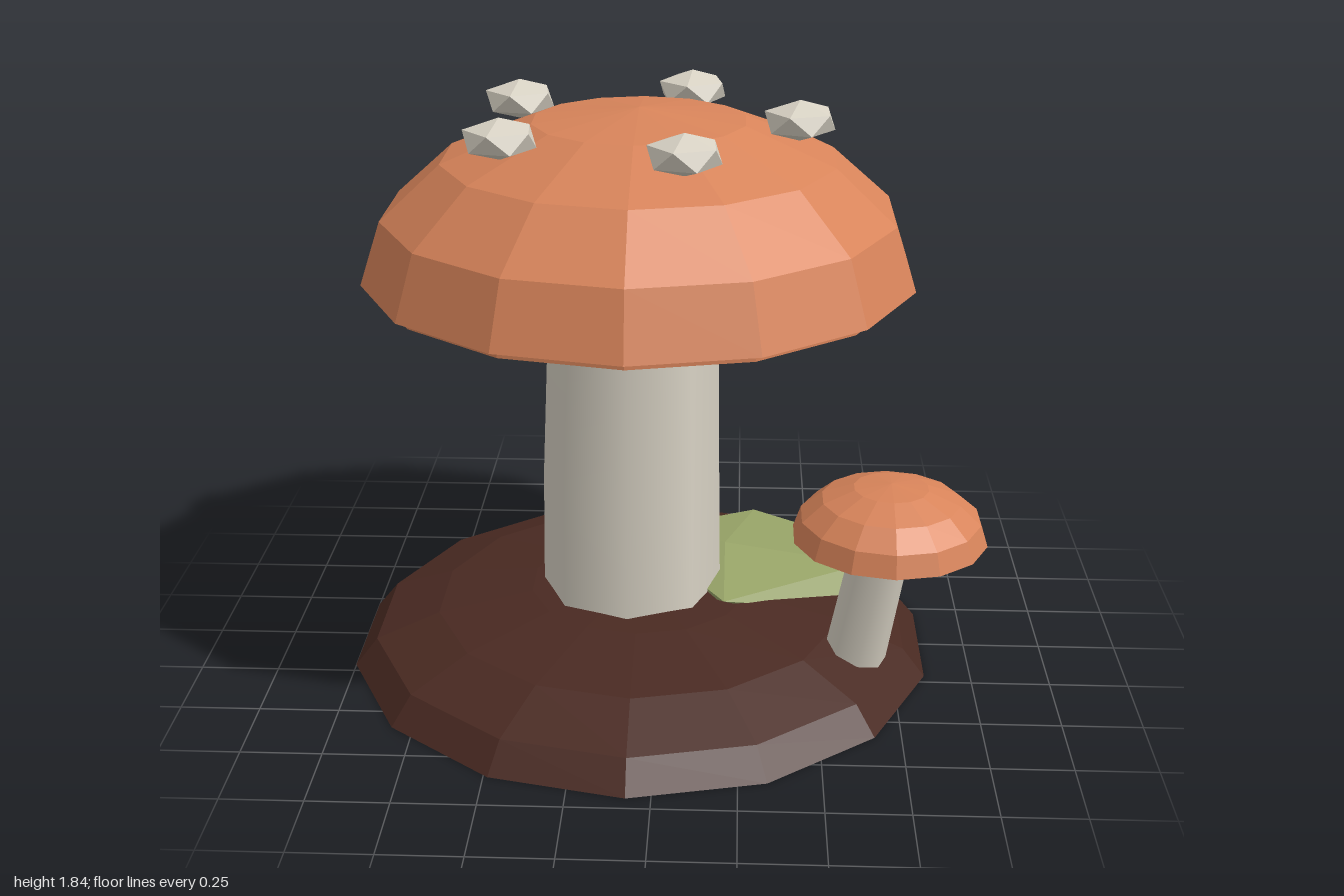
import * as THREE from 'three';
import { ConvexGeometry } from 'three/addons/geometries/ConvexGeometry.js';

const mat = (name, color) => {
  const m = new THREE.MeshStandardMaterial({ color });
  m.name = name;
  return m;
};

// Faceted normals
function faceted(geometry) {
  const g = geometry.index ? geometry.toNonIndexed() : geometry;
  g.computeVertexNormals();
  return g;
}

// Closed low-poly dome with a flat underside
function dome(radius, height, rings = 4) {
  const profile = [new THREE.Vector2(0, 0)];
  for (let i = 0; i <= rings; i++) {
    const a = (i / rings) * Math.PI / 2;
    profile.push(new THREE.Vector2(i === rings ? 0 : radius * Math.cos(a), height * Math.sin(a)));
  }
  return faceted(new THREE.LatheGeometry(profile, 14));
}

export function createModel() {
  const soil = mat('soil brown', 0x4a2a22);
  const orange = mat('cap orange', 0xd8845a);
  const cream = mat('stem cream', 0xd8d2c4);
  const moss = mat('moss green', 0x98a468);
  const model = new THREE.Group();
  model.name = 'mushrooms';
  const cx = -0.075;

  function add(name, geometry, material, x = 0, y = 0, z = 0) {
    const mesh = new THREE.Mesh(geometry, material);
    mesh.name = name;
    mesh.position.set(x, y, z);
    model.add(mesh);
    return mesh;
  }

  // Mound of soil
  add('ground', dome(0.95, 0.235), soil, cx);

  // Large stem: slightly leaning, narrower towards the top
  const stem = new THREE.LatheGeometry(
    [[0.295, 0.03], [0.286, 0.6], [0.264, 1.3]].map(([r, y]) => new THREE.Vector2(r, y)), 8);
  const p = stem.attributes.position;
  for (let i = 0; i < p.count; i++) {
    const t = Math.max(0, (p.getY(i) - 0.6) / 0.7);
    p.setX(i, p.getX(i) - 0.107 + 0.012 * t);
    p.setZ(i, p.getZ(i) - 0.016 + 0.016 * t);
  }
  add('largeStem', stem, cream);

  // Large cap and the gill plate under it
  add('largeCap', dome(0.862, 0.515), orange, cx, 1.3);
  add('gillPlate', faceted(new THREE.CylinderGeometry(0.823, 0.823, 0.04, 14)), orange, cx, 1.295);

  // Ring of five pebbly spots on the cap
  for (let i = 0; i < 5; i++) {
    const a = i * Math.PI * 2 / 5;
    const spot = new THREE.IcosahedronGeometry(0.12, 0);
    spot.rotateZ(Math.atan(2 / (1 + Math.sqrt(5))));
    spot.rotateY(i * 1.3);
    spot.scale(1, 0.52, 1);
    add('capSpot', faceted(spot), cream, cx + 0.485 * Math.cos(a), 1.778, 0.46 * Math.sin(a));
  }

  // Small leaning mushroom
  const foot = new THREE.Vector3(0.61, 0.04, 0.255);
  const head = new THREE.Vector3(0.695, 0.59, 0.342);
  const axis = head.clone().sub(foot);
  const mid = foot.clone().add(head).multiplyScalar(0.5);
  const smallStem = add('smallStem',
    new THREE.CylinderGeometry(0.09, 0.1, axis.length(), 8), cream, mid.x, mid.y, mid.z);
  smallStem.quaternion.setFromUnitVectors(new THREE.Vector3(0, 1, 0), axis.normalize());
  add('smallCap', dome(0.3, 0.175), orange, 0.705, 0.565, 0.345);

  // Low faceted patch of moss between the stems
  const corners = [
    [0.2, 0.283, -0.17], [0.2, 0.235, 0.17], [0.67, 0.235, -0.12], [0.3, 0.23, -0.55],
    [0.32, 0.19, -0.55], [0.57, 0.2, -0.43], [0.42, 0.125, -0.43], [-0.11, 0.19, -0.42],
    [-0.12, 0.23, -0.35], [0.65, 0.19, -0.26], [0.58, 0.13, 0], [0.38, 0.14, 0.06],
    [0, 0.1, -0.2],
  ];
  add('mossPatch', new ConvexGeometry(corners.map((c) => new THREE.Vector3(...c))), moss);

  return model;
}
